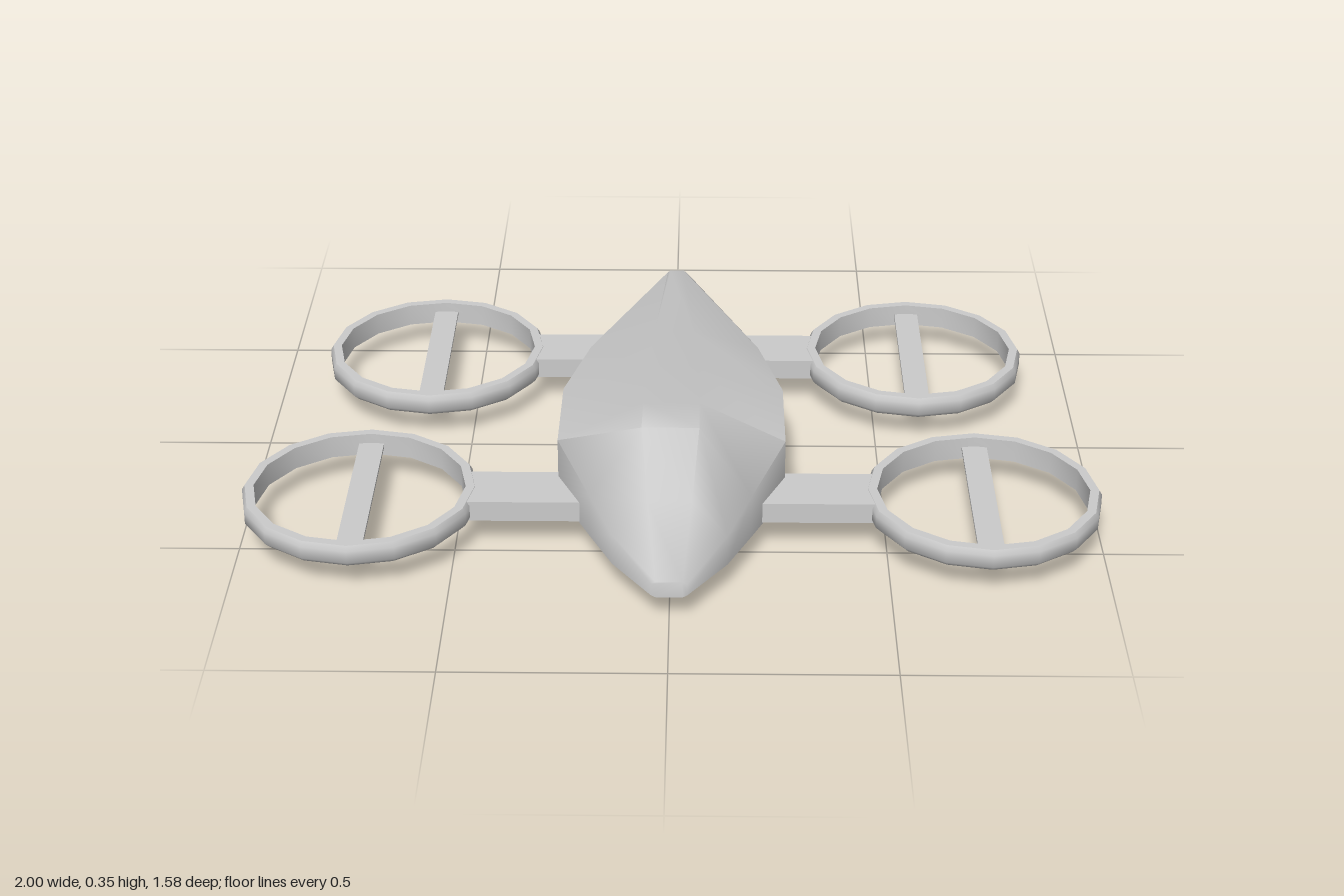
import * as THREE from 'three';
import { toCreasedNormals } from 'three/addons/utils/BufferGeometryUtils.js';

const material = new THREE.MeshStandardMaterial({ color: 0xcccccc });

function addMesh(parent, name, geometry, x = 0, y = 0, z = 0) {
  const mesh = new THREE.Mesh(geometry, material);
  mesh.name = name;
  mesh.position.set(x, y, z);
  parent.add(mesh);
  return mesh;
}

// Hull: eight-sided cross-sections lofted from nose to tail
function hullGeometry() {
  // z, roof half width, roof y, side half width, side top y, side bottom y, keel half width, keel y
  const stations = [
    [0.79, 0.03, 0.10, 0.04, 0.095, 0.065, 0.03, 0.06],
    [0.66, 0.05, 0.23, 0.13, 0.14, 0.065, 0.045, 0.042],
    [0.54, 0.065, 0.35, 0.185, 0.172, 0.065, 0.055, 0.025],
    [0.36, 0.065, 0.316, 0.265, 0.215, 0.065, 0.065, 0],
    [0.08, 0.06, 0.264, 0.265, 0.2, 0.065, 0.065, 0],
    [-0.21, 0.05, 0.209, 0.21, 0.165, 0.067, 0.055, 0.023],
    [-0.79, 0.018, 0.10, 0.025, 0.095, 0.075, 0.018, 0.07],
  ];
  const n = 8;
  const positions = [];
  const index = [];
  for (const [z, rw, ry, sw, st, sb, kw, ky] of stations) {
    const half = [[rw, ry], [sw, st], [sw, sb], [kw, ky]];
    for (const [x, y] of half) positions.push(x, y, z);
    for (const [x, y] of half.reverse()) positions.push(-x, y, z);
  }
  const last = (stations.length - 1) * n;
  for (let s = 0; s < last; s += n) {
    for (let i = 0; i < n; i++) {
      const j = (i + 1) % n;
      index.push(s + i, s + j, s + n + i, s + j, s + n + j, s + n + i);
    }
  }
  // Flat end caps
  for (let i = 1; i < n - 1; i++) {
    index.push(0, i + 1, i, last, last + i, last + i + 1);
  }
  const geometry = new THREE.BufferGeometry();
  geometry.setAttribute('position', new THREE.Float32BufferAttribute(positions, 3));
  geometry.setIndex(index);
  return toCreasedNormals(geometry, 1.02);
}

// Rotor guard: a sixteen-sided band with a slightly bevelled outer rim
function guardGeometry() {
  const profile = [
    [0.247, 0.065], [0.262, 0.065], [0.275, 0.078], [0.275, 0.108],
    [0.268, 0.12], [0.247, 0.12], [0.247, 0.065],
  ].map(([r, y]) => new THREE.Vector2(r, y));
  return toCreasedNormals(new THREE.LatheGeometry(profile, 16), 0.9);
}

export function createModel() {
  const model = new THREE.Group();
  model.name = 'quadcopter';
  addMesh(model, 'hull', hullGeometry());

  const guard = guardGeometry();
  const blade = new THREE.BoxGeometry(0.06, 0.008, 0.49);
  const rotors = [
    { name: 'front', x: 0.725, z: 0.412 },
    { name: 'rear', x: 0.605, z: -0.298 },
  ];
  // Four rotors, mirrored left and right
  for (const { name, x, z } of rotors) {
    for (const side of [1, -1]) {
      const rotor = new THREE.Group();
      rotor.name = name + (side > 0 ? 'LeftRotor' : 'RightRotor');
      rotor.position.set(side * x, 0, z);
      model.add(rotor);
      addMesh(rotor, 'guard', guard);
      addMesh(rotor, 'blade', blade, 0, 0.092, 0);
      // Arm from inside the hull to the guard wall
      const inner = 0.12;
      const outer = x - 0.25;
      const arm = new THREE.BoxGeometry(outer - inner, 0.05, 0.14);
      addMesh(rotor, 'arm', arm, side * ((inner + outer) / 2 - x), 0.094, 0);
    }
  }
  return model;
}
